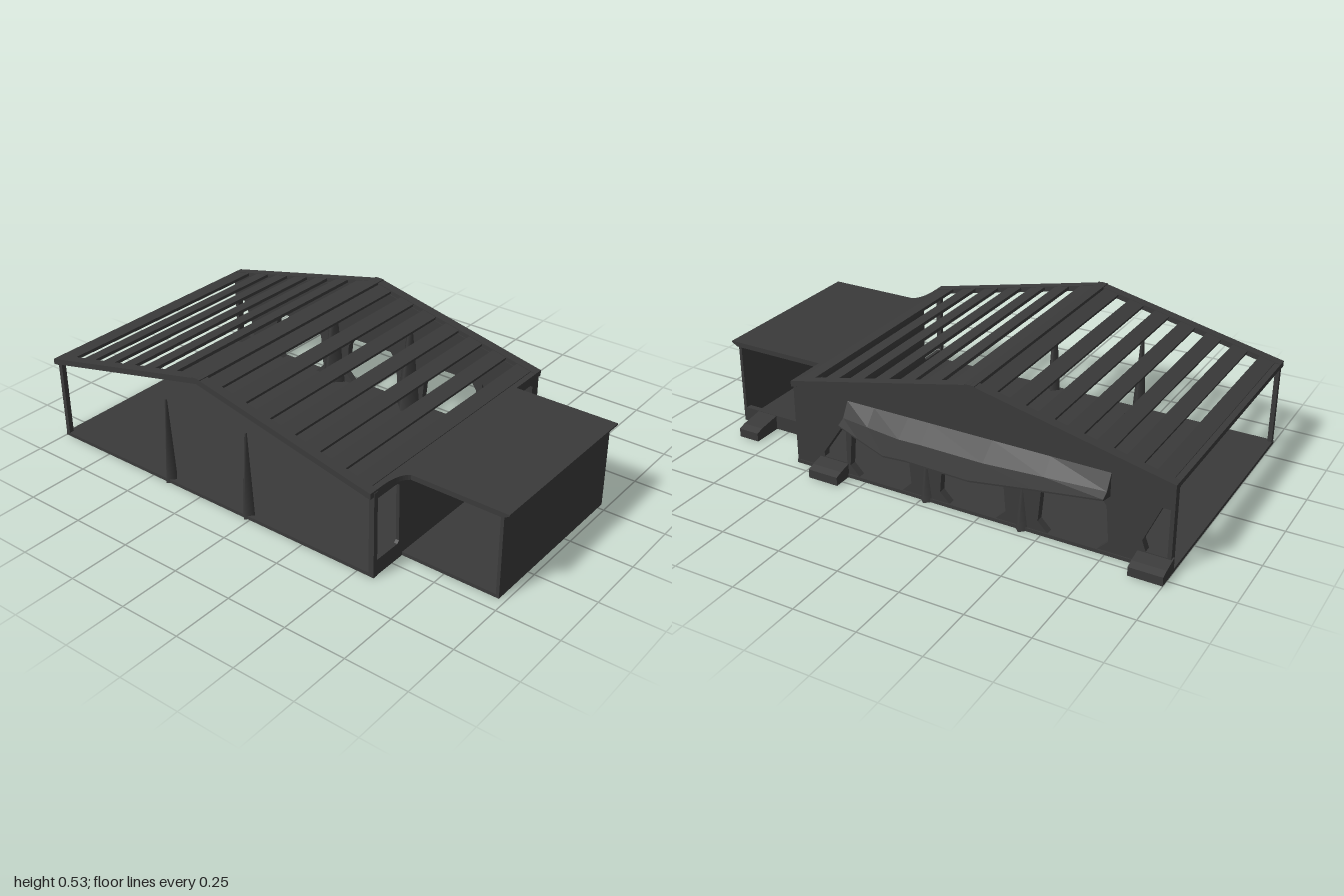
import * as THREE from 'three';

const RIDGE_X = -0.215, HALF = 0.785, EAVE_Y = 0.35, RIDGE_Y = 0.525;
const FRONT_Z = 0.63, BACK_Z = -0.47;

export function createModel() {
  const group = new THREE.Group();
  const dark = new THREE.MeshStandardMaterial({ color: 0x3a3a3a, side: THREE.DoubleSide });

  const add = (name, geometry) => {
    const mesh = new THREE.Mesh(geometry, dark);
    mesh.name = name;
    group.add(mesh);
    return mesh;
  };
  // box given by its lower and upper limits
  const box = (name, x0, x1, y0, y1, z0, z1) => {
    const mesh = add(name, new THREE.BoxGeometry(x1 - x0, y1 - y0, z1 - z0));
    mesh.position.set((x0 + x1) / 2, (y0 + y1) / 2, (z0 + z1) / 2);
    return mesh;
  };
  const polygon = (pts) => pts.map(([x, y]) => new THREE.Vector2(x, y));
  // opening with cut corners
  const opening = (x0, x1, y0, y1, c) => new THREE.Path(polygon([
    [x0 + c, y0], [x1 - c, y0], [x1, y0 + c], [x1 - c * 0.3, y1 - c], [x1 - c, y1],
    [x0 + c, y1], [x0 + c * 0.3, y1 - c], [x0, y0 + c]]));
  const extrude = (shape, depth) => new THREE.ExtrudeGeometry(shape, { depth, bevelEnabled: false });

  // floors
  box('floor', -1, 0.57, 0, 0.014, -0.46, 0.61);
  box('annexFloor', 0.57, 0.975, 0, 0.014, -0.28, 0.44);

  // gabled back wall with arched openings
  const wall = new THREE.Shape(polygon([
    [-0.995, 0], [0.57, 0], [0.57, EAVE_Y - 0.01], [RIDGE_X, RIDGE_Y - 0.01], [-0.995, EAVE_Y - 0.01]]));
  [-0.62, -0.215, 0.185].forEach((x) => wall.holes.push(opening(x - 0.14, x + 0.135, 0.014, 0.235, 0.04)));
  wall.holes.push(new THREE.Path(polygon([[-0.98, 0.06], [-0.9, 0.06], [-0.885, 0.1], [-0.95, 0.25], [-0.98, 0.25]])));
  wall.holes.push(new THREE.Path(polygon([[0.335, 0.06], [0.44, 0.06], [0.44, 0.08], [0.335, 0.235]])));
  add('backWall', extrude(wall, 0.03)).position.z = -0.455;

  // side wall toward the annex, with a window at each end
  const side = new THREE.Shape(polygon([[-0.61, 0], [0.455, 0], [0.455, 0.35], [-0.61, 0.35]]));
  side.holes.push(opening(-0.595, -0.46, 0.065, 0.32, 0.01));
  side.holes.push(opening(0.285, 0.415, 0.065, 0.32, 0.01));
  const sideWall = add('sideWall', extrude(side, 0.014));
  sideWall.rotation.y = Math.PI / 2;
  sideWall.position.x = 0.556;

  // front posts and tapered pillars
  box('frontPost', -0.998, -0.98, 0, EAVE_Y, 0.59, 0.61);
  box('frontPost', 0.55, 0.572, 0, EAVE_Y, 0.59, 0.61);
  [-0.42, -0.02].forEach((x) => {
    const pillar = add('frontPillar', new THREE.CylinderGeometry(0.006, 0.03, 0.36, 4));
    pillar.position.set(x, 0.18, 0.59);
    // matching buttress against the back wall
    const buttress = add('backButtress', new THREE.CylinderGeometry(0.015, 0.06, 0.36, 4));
    buttress.position.set(x, 0.18, -0.42);
  });

  // roof slats, seven on each slope
  const angle = Math.atan2(RIDGE_Y - EAVE_Y, HALF);
  const count = 7, pitch = HALF / count, length = FRONT_Z - BACK_Z;
  for (const s of [-1, 1]) {
    for (let i = 0; i < count; i++) {
      const d = (i + 0.5) * pitch;
      const slat = add('roofSlat', new THREE.BoxGeometry(0.064, 0.012, length - 0.02));
      slat.position.set(RIDGE_X + s * d, RIDGE_Y - d * Math.tan(angle), (FRONT_Z + BACK_Z) / 2);
      slat.rotation.z = -s * angle;
    }
    // eave beams
    const x = RIDGE_X + s * (HALF - 0.012);
    box('eaveBeam', x - 0.012, x + 0.012, EAVE_Y - 0.012, EAVE_Y + 0.008, BACK_Z, FRONT_Z);
  }
  box('ridgeBeam', RIDGE_X - 0.02, RIDGE_X + 0.02, RIDGE_Y - 0.006, RIDGE_Y + 0.007, BACK_Z, FRONT_Z);

  // gable rims closing both ends of the roof
  const rim = new THREE.Shape(polygon([
    [-1, EAVE_Y - 0.015], [RIDGE_X, RIDGE_Y - 0.015], [0.57, EAVE_Y - 0.015],
    [0.57, EAVE_Y + 0.008], [RIDGE_X, RIDGE_Y + 0.008], [-1, EAVE_Y + 0.008]]));
  add('frontGableRim', extrude(rim, 0.04)).position.z = FRONT_Z - 0.04;
  add('backGableRim', extrude(rim, 0.04)).position.z = BACK_Z;

  // flared back canopy: one cross-section per station, joined in loops
  const stations = [[-0.76, -0.515], [-0.53, -0.57], [-0.3, -0.63], [-0.04, -0.62], [0.05, -0.63], [0.2, -0.57], [0.32, -0.52]];
  const points = [], faces = [];
  stations.forEach(([x, tip]) => {
    const mid = -0.47 + (tip + 0.47) * 0.35;
    [[0.33, -0.455], [0.272, mid], [0.256, tip], [0.25, tip], [0.238, -0.455]]
      .forEach(([y, z]) => points.push(x, y, z));
  });
  for (let i = 0; i < stations.length - 1; i++) {
    for (let j = 0; j < 5; j++) {
      const a = i * 5 + j, b = i * 5 + (j + 1) % 5;
      faces.push(a, a + 5, b, b, a + 5, b + 5);
    }
  }
  for (const e of [0, (stations.length - 1) * 5]) {
    faces.push(e, e + 1, e + 4, e + 1, e + 2, e + 4, e + 2, e + 3, e + 4);
  }
  let canopy = new THREE.BufferGeometry();
  canopy.setAttribute('position', new THREE.Float32BufferAttribute(points, 3));
  canopy.setIndex(faces);
  canopy = canopy.toNonIndexed();
  canopy.computeVertexNormals();
  add('backCanopy', canopy);

  // annex: open-ended passage with an overhanging roof lip
  box('annexOuterWall', 0.962, 0.975, 0, 0.35, -0.28, 0.44);
  const roof = new THREE.Shape(polygon([[0.56, 0.338], [0.975, 0.338], [1, 0.352], [1, 0.358], [0.56, 0.358]]));
  add('annexRoof', extrude(roof, 0.74)).position.z = -0.29;
  box('annexSill', 0.57, 0.965, 0, 0.06, -0.28, -0.255);

  // curved corner where the annex meets the main building
  const fillet = new THREE.Shape();
  fillet.moveTo(0.56, 0.44);
  fillet.lineTo(0.63, 0.44);
  fillet.quadraticCurveTo(0.575, 0.45, 0.57, 0.55);
  fillet.lineTo(0.56, 0.55);
  const corner = add('cornerFillet', extrude(fillet, 0.02));
  corner.rotation.x = Math.PI / 2;
  corner.position.y = 0.358;

  // rear footings
  [[-1, -0.87, -0.535, -0.44], [0.33, 0.46, -0.535, -0.44], [0.81, 0.9, -0.405, -0.27]].forEach(([x0, x1, z0, z1]) => {
    const foot = new THREE.Shape(polygon([[-z1, 0], [-z0, 0], [-z0, 0.035], [-z0 - 0.03, 0.045], [-z1, 0.06]]));
    const mesh = add('rearFooting', extrude(foot, x1 - x0));
    mesh.rotation.y = Math.PI / 2;
    mesh.position.x = x0;
  });

  return group;
}
